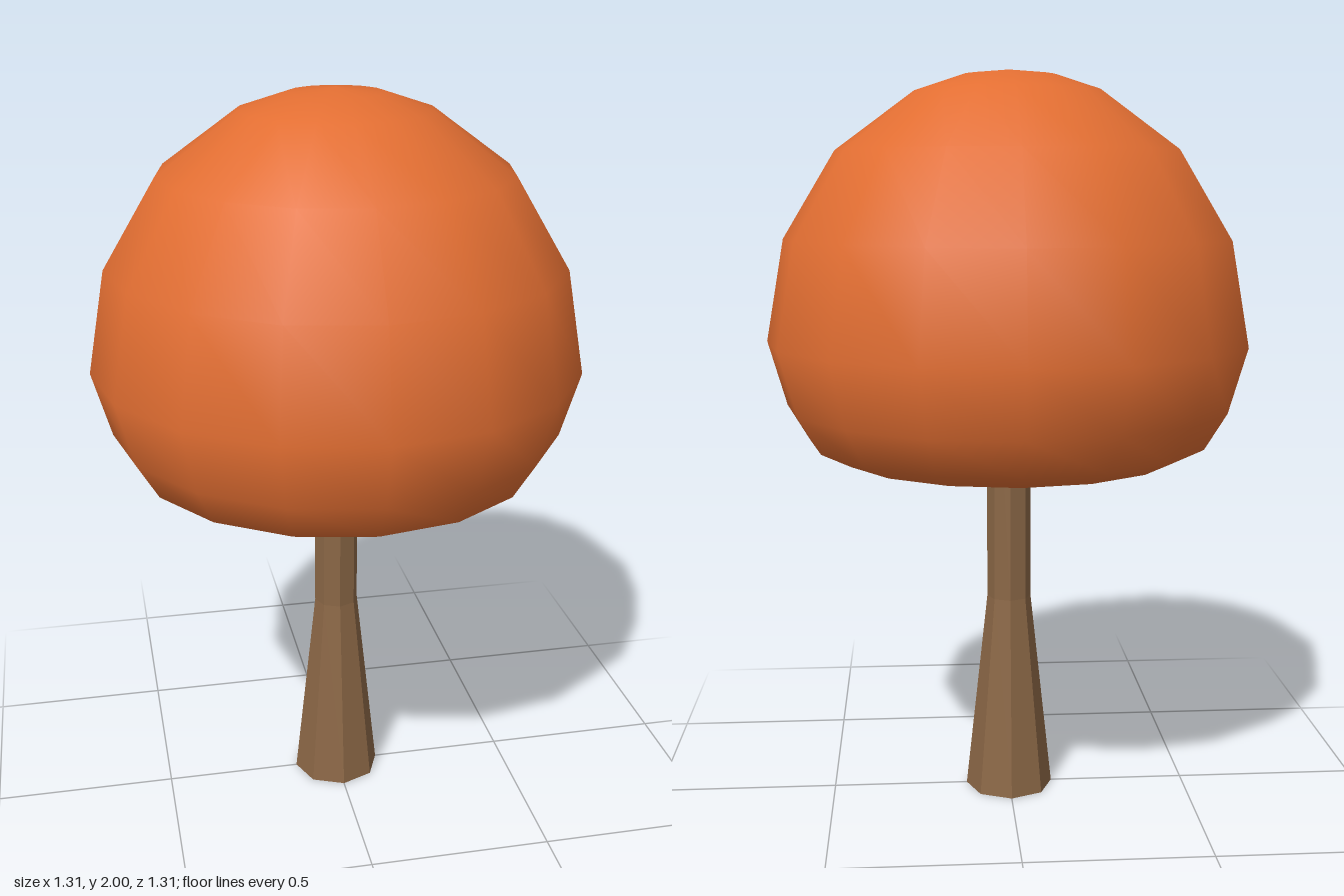
import * as THREE from 'three';

const lathe = (points, sides) =>
  new THREE.LatheGeometry(points.map(([r, y]) => new THREE.Vector2(r, y)), sides);

export function createModel() {
  const tree = new THREE.Group();
  tree.name = 'tree';

  const foliage = new THREE.MeshStandardMaterial({ color: 0xe26e32 });
  foliage.name = 'orange foliage';
  const bark = new THREE.MeshStandardMaterial({ color: 0x8b6746 });
  bark.name = 'brown bark';
  bark.flatShading = true;

  // Crown: hollow underside running down to the rim, then up over the dome
  const profile = [
    [0, 1.42], [0.06, 1.38], [0.2, 1.2], [0.32, 1.04], [0.38, 0.985],
    [0.463, 0.97], [0.545, 1.01], [0.605, 1.11],
  ];
  for (const degrees of [0, 22.5, 45, 67.5, 79, 90]) {
    const a = THREE.MathUtils.degToRad(degrees);
    profile.push([degrees === 90 ? 0 : 0.655 * Math.cos(a), 1.285 + 0.715 * Math.sin(a)]);
  }
  const crown = new THREE.Mesh(lathe(profile, 16), foliage);
  crown.name = 'crown';

  // Trunk: eight flat sides, flared towards a closed base
  const trunk = new THREE.Mesh(
    lathe([[0, 0], [0.122, 0], [0.061, 0.56], [0.061, 1.42]], 8).toNonIndexed(), bark);
  trunk.geometry.computeVertexNormals();
  trunk.name = 'trunk';

  tree.add(crown, trunk);
  return tree;
}
